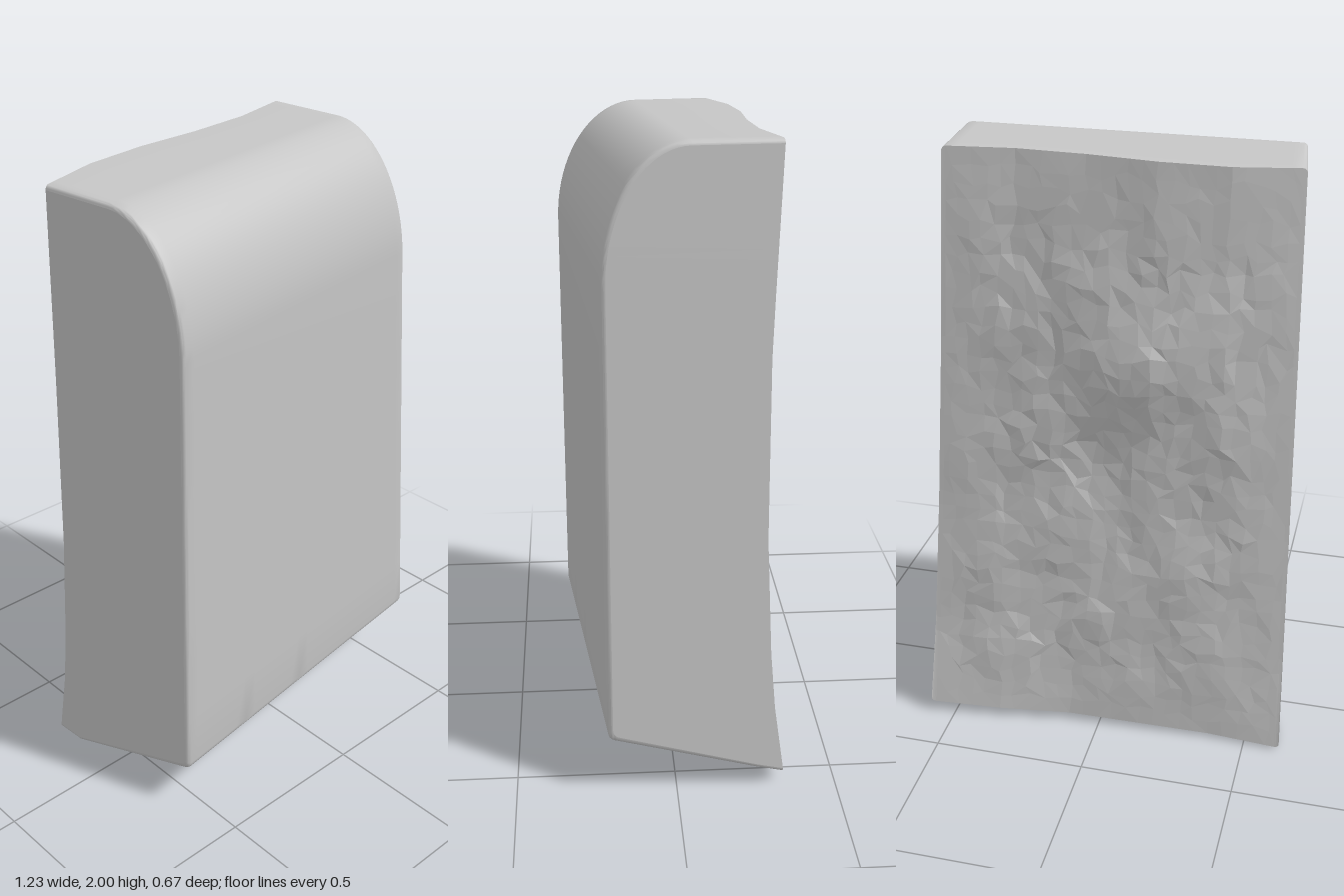
import * as THREE from 'three';
import { toCreasedNormals } from 'three/addons/utils/BufferGeometryUtils.js';

const lerp = THREE.MathUtils.lerp;
const BEVEL = 0.014;

// Slanted side planes
const sideLow = (y, z) => -0.55 + 0.012 * (y - 0.16) + 0.115 * (z - 0.335);
const sideHigh = (y, z) => 0.61 - 0.075 * (y - 0.2) + 0.074 * (z - 0.205);
const place = (u, z, y) => new THREE.Vector3(lerp(sideLow(y, z), sideHigh(y, z), u), y, z);

// Edge rounding: how far the profile shrinks close to either side
function inset(u) {
  const d = Math.min(u, 1 - u) * 1.12;
  return d >= BEVEL ? 0 : BEVEL - Math.sqrt(BEVEL ** 2 - (BEVEL - d) ** 2);
}

// Broken back: coarse depth map, rows from bottom to top
const backRows = [0, 0.15, 0.4, 0.7, 1];
const backDepth = [
  [-0.26, -0.25, -0.26, -0.27, -0.31, -0.335],
  [-0.215, -0.24, -0.25, -0.26, -0.28, -0.295],
  [-0.19, -0.225, -0.24, -0.25, -0.265, -0.275],
  [-0.18, -0.23, -0.268, -0.268, -0.26, -0.277],
  [-0.175, -0.235, -0.253, -0.247, -0.258, -0.303],
];
function backPoint(u, v) {
  let r = 0;
  while (r < 3 && v > backRows[r + 1]) r++;
  const c = Math.min(4, Math.floor(u * 5));
  const row = (k) => lerp(backDepth[k][c], backDepth[k][c + 1], u * 5 - c);
  const z = lerp(row(r), row(r + 1), (v - backRows[r]) / (backRows[r + 1] - backRows[r]));
  const y = lerp(lerp(0.008, 0.04, u) + inset(u), lerp(1.968, 2, u) - inset(u), v);
  return place(u, z, y);
}

// Outline from lower back edge, along the base, up the front and over the crown
function profile(u) {
  const s = inset(u);
  const zf = lerp(0.335, 0.212, u) - s, yf = lerp(0.16, 0.2, u) + s;
  const zc = lerp(0.065, -0.045, u), yc = lerp(1.575, 1.6, u), yt = lerp(1.968, 2, u) - s;
  const pts = [backPoint(u, 0), place(u, lerp(-0.17, -0.25, u), lerp(0, 0.062, u) + s)];
  for (let i = 0; i <= 4; i++) { // rounded lower front edge
    const t = i / 4;
    pts.push(place(u, zf - 0.02 * (1 - t) ** 2, yf - 0.006 * (1 - t) ** 2 + 0.02 * t * t));
  }
  for (let i = 1; i < 8; i++) pts.push(place(u, zf, lerp(yf + 0.02, yc, i / 8)));
  for (let i = 0; i <= 20; i++) { // curved crown
    const a = (i / 20) * Math.PI / 2;
    pts.push(place(u, zc + (zf - zc) * Math.cos(a), yc + (yt - yc) * Math.sin(a)));
  }
  pts.push(backPoint(u, 1));
  return pts;
}

// Skin between rows of points
function skin(rows, flip = false, diagonal = () => false) {
  const n = rows[0].length, index = [];
  const tri = (a, b, c) => (flip ? index.push(a, c, b) : index.push(a, b, c));
  for (let i = 0; i < rows.length - 1; i++) {
    for (let k = 0; k < n - 1; k++) {
      const a = i * n + k, b = a + n, c = b + 1, d = a + 1;
      if (diagonal()) { tri(a, b, d); tri(b, c, d); } else { tri(a, b, c); tri(a, c, d); }
    }
  }
  const g = new THREE.BufferGeometry().setFromPoints(rows.flat());
  g.setIndex(index);
  return g;
}

function flat(g) {
  const f = g.toNonIndexed();
  f.computeVertexNormals();
  return f;
}

export function createModel() {
  const group = new THREE.Group();
  group.name = 'stoneBlock';
  const stone = new THREE.MeshStandardMaterial({ color: 0xc6c6c6 });
  stone.name = 'stone grey';
  const add = (name, geometry) => {
    const mesh = new THREE.Mesh(geometry, stone);
    mesh.name = name;
    group.add(mesh);
  };

  // Columns across the width, packed near the rounded sides
  const columns = [0, 0.001, 0.004, 0.008, 0.0125];
  for (let i = 1; i < 25; i++) columns.push(i / 25);
  columns.push(0.9875, 0.992, 0.996, 0.999, 1);

  // Base, front and crown in one smooth sheet
  const ribs = columns.map(profile);
  add('dressedFace', toCreasedNormals(skin(ribs), 0.6));

  // Side faces
  for (const u of [0, 1]) {
    const front = profile(u), low = front[2].y, high = front[front.length - 1].y;
    const back = front.map((p) => backPoint(u, THREE.MathUtils.clamp((p.y - low) / (high - low), 0, 1)));
    back[0] = backPoint(u, 0);
    back[1] = backPoint(u, 0);
    add(u ? 'leftSide' : 'rightSide', flat(skin([front, back], u === 0)));
  }

  // Rough, faceted back
  let seed = 11;
  const random = () => (seed = (seed * 16807) % 2147483647) / 2147483647;
  const steps = 36;
  const rough = columns.map((u) => Array.from({ length: steps + 1 }, (_, k) => {
    const v = k / steps;
    const inner = u > 0.02 && u < 0.98 && k > 0 && k < steps;
    const ju = inner ? (random() - 0.5) * 0.024 : 0;
    const jv = inner ? (random() - 0.5) * 0.017 : 0;
    const p = backPoint(u + ju, v + jv);
    if (inner) {
      const fade = Math.min(1, 6 * Math.min(u, 1 - u, v, 1 - v));
      const wave = Math.sin(u * 17 + v * 9) * Math.sin(v * 21 - u * 5) * 0.007;
      const bulge = -0.022 * Math.exp(-(((u - 0.45) / 0.16) ** 2) - ((v - 0.68) / 0.09) ** 2);
      const pit = 0.02 * Math.exp(-(((u - 0.45) / 0.2) ** 2) - ((v - 0.5) / 0.1) ** 2);
      const chip = -0.012 * Math.exp(-(((u - 0.83) / 0.08) ** 2) - ((v - 0.12) / 0.05) ** 2);
      p.z += fade * (wave + bulge + pit + chip + (random() - 0.5) * 0.007);
    }
    return p;
  }));
  add('roughBack', flat(skin(rough, true, () => random() > 0.5)));

  return group;
}
